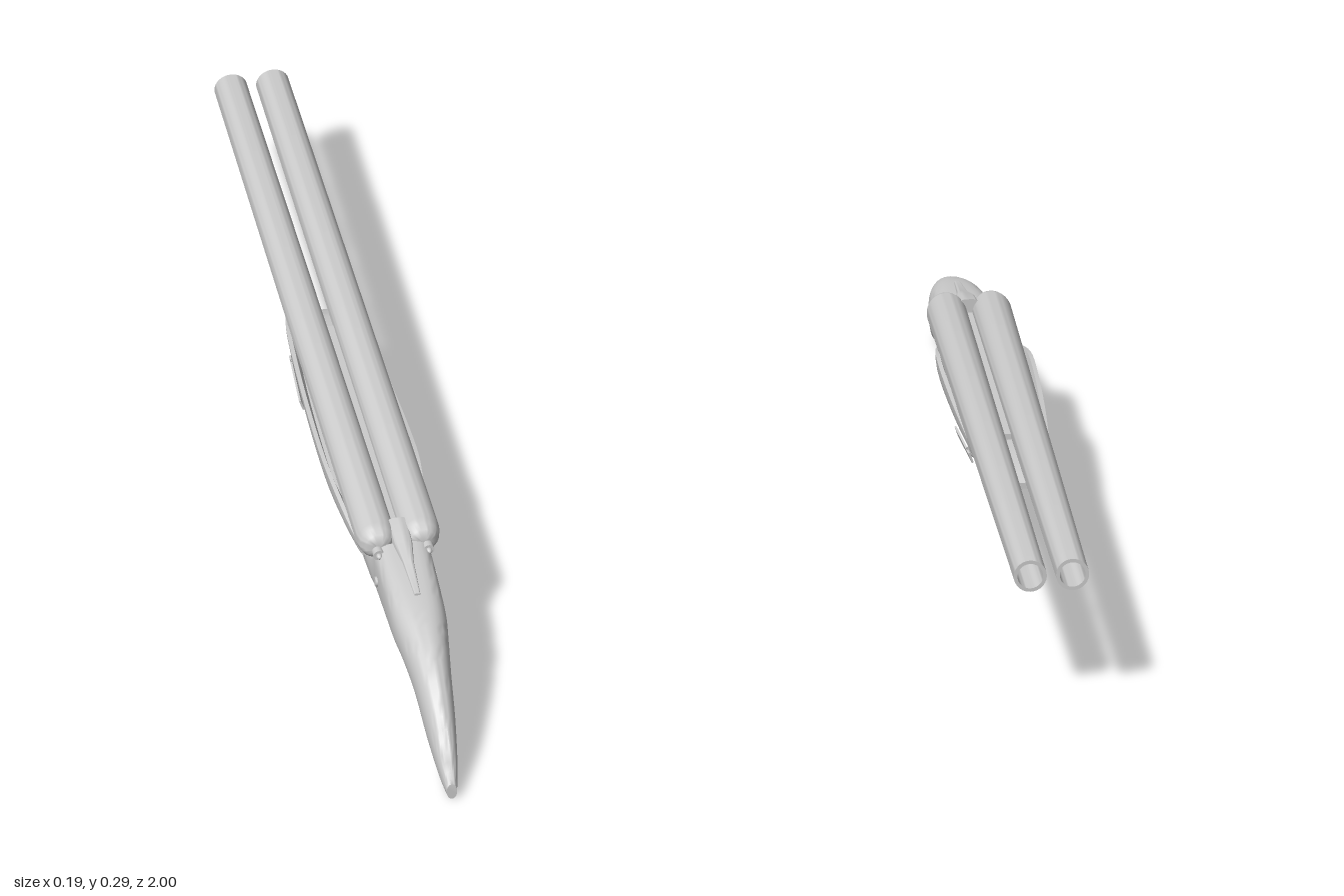
import * as THREE from 'three';
import { toCreasedNormals } from 'three/addons/utils/BufferGeometryUtils.js';

const CX = 0.004; // centre line of the whole gun
const mat = new THREE.MeshStandardMaterial({ color: 0xcccccc, side: THREE.DoubleSide });
const V = (x, y, z) => new THREE.Vector3(x, y, z);

function add(group, name, geometry, x = 0, y = 0, z = 0) {
  const mesh = new THREE.Mesh(geometry, mat);
  mesh.name = name;
  mesh.position.set(x, y, z);
  group.add(mesh);
  return mesh;
}

// Skin rings of points, each counter-clockwise seen from +z, running from +z to -z
function loft(rings, crease = 0.7) {
  const n = rings[0].length, pos = [], idx = [];
  rings.forEach(r => r.forEach(p => pos.push(p.x, p.y, p.z)));
  for (let i = 0; i < rings.length - 1; i++) {
    for (let j = 0; j < n; j++) {
      const a = i * n + j, b = i * n + (j + 1) % n, c = a + n, d = b + n;
      idx.push(a, c, b, b, c, d);
    }
  }
  const flat = rings.map(r => r.map(p => new THREE.Vector2(p.x, p.y)));
  const last = (rings.length - 1) * n;
  THREE.ShapeUtils.triangulateShape(flat[0], []).forEach(f => idx.push(...f));
  THREE.ShapeUtils.triangulateShape(flat[rings.length - 1], [])
    .forEach(([a, b, c]) => idx.push(last + a, last + c, last + b));
  const g = new THREE.BufferGeometry();
  g.setAttribute('position', new THREE.Float32BufferAttribute(pos, 3));
  g.setIndex(idx);
  return toCreasedNormals(g, crease);
}

// Smoothly resample rows of numbers whose first entry is z
function resample(rows, steps) {
  const out = [];
  for (let i = 0; i < rows.length - 1; i++) {
    const p = [rows[Math.max(i - 1, 0)], rows[i], rows[i + 1], rows[Math.min(i + 2, rows.length - 1)]];
    for (let s = 0; s < steps; s++) {
      const t = s / steps;
      out.push(rows[0].map((_, k) => {
        const [a, b, c, d] = p.map(r => r[k]);
        return b + 0.5 * t * (c - a + t * (2 * a - 5 * b + 4 * c - d + t * (3 * (b - c) + d - a)));
      }));
    }
  }
  return [...out, rows[rows.length - 1]];
}

const power = (v, e) => Math.sign(v) * Math.abs(v) ** e;

// Rounded-square ring: z, bottom, top, half width, squareness exponent
function roundRing([z, bottom, top, w, e]) {
  const ring = [];
  for (let j = 0; j < 32; j++) {
    const a = j / 32 * Math.PI * 2;
    ring.push(V(CX + w * power(Math.cos(a), e), (top + bottom) / 2 + (top - bottom) / 2 * power(Math.sin(a), e), z));
  }
  return ring;
}

// Trough ring: rounded belly with two side walls hugging the barrels
function troughRing([z, bottom, top, w]) {
  const ring = [];
  for (let j = 0; j <= 24; j++) {
    const a = Math.PI * (1 + j / 24);
    ring.push(V(w * power(Math.cos(a), 0.75), top + (top - bottom) * power(Math.sin(a), 0.9), z));
  }
  const floor = Math.min(0.228, top - 0.006);
  ring.push(V(w - 0.008, top + 0.001, z), V(w - 0.016, floor, z), V(-w + 0.016, floor, z), V(-w + 0.008, top + 0.001, z));
  return ring;
}

export function createModel() {
  const model = new THREE.Group();
  model.name = 'doubleBarrelGun';

  // Curved pistol stock running into the receiver
  const stock = [
    [1, 0.003, 0.037, 0.01, 0.9], [0.96, 0.012, 0.085, 0.019, 0.9], [0.89, 0.042, 0.15, 0.029, 0.9],
    [0.81, 0.09, 0.2, 0.037, 0.9], [0.74, 0.12, 0.226, 0.046, 0.85], [0.68, 0.133, 0.24, 0.053, 0.75],
    [0.6, 0.143, 0.252, 0.055, 0.6], [0.51, 0.148, 0.262, 0.056, 0.5]
  ];
  add(model, 'stock', loft(resample(stock, 4).map(roundRing)));

  // Receiver under the breech
  const receiver = [[0.51, 0.148, 0.262, 0.056, 0.5], [0.48, 0.15, 0.225, 0.057, 0.45], [0.38, 0.155, 0.22, 0.06, 0.45]];
  add(model, 'receiver', loft(receiver.map(roundRing)));

  // Forend cradling the barrels
  const forend = [
    [0.41, 0.153, 0.204, 0.066], [0.35, 0.155, 0.23, 0.08], [0.25, 0.158, 0.252, 0.092], [0.14, 0.164, 0.252, 0.093],
    [-0.02, 0.174, 0.246, 0.088], [-0.16, 0.184, 0.239, 0.08], [-0.26, 0.189, 0.23, 0.071],
    [-0.31, 0.19, 0.221, 0.06], [-0.338, 0.192, 0.21, 0.045]
  ];
  add(model, 'forend', loft(resample(forend, 4).map(troughRing)));

  // Two hollow barrels, drifting apart a little toward the muzzle
  const breechRadius = 0.0385, muzzleRadius = 0.032, length = 1.47;
  const profile = [
    [0.001, -0.042], [0.014, -0.041], [0.026, -0.034], [0.034, -0.022], [0.0375, -0.008], [breechRadius, 0],
    [muzzleRadius, length], [0.025, length], [0.025, length - 0.5], [0.001, length - 0.5]
  ].map(p => new THREE.Vector2(...p));
  for (const [side, xBreech, xMuzzle] of [['right', -0.041, -0.032], ['left', 0.046, 0.05]]) {
    const geometry = toCreasedNormals(new THREE.LatheGeometry(profile, 40), 0.6);
    const barrel = add(model, side + 'Barrel', geometry, xBreech, 0.255, 0.47);
    const aim = V(xMuzzle - xBreech, 0.007, -length).normalize();
    barrel.quaternion.setFromUnitVectors(V(0, 1, 0), aim);

    // Firing pin with collar behind each barrel
    const s = side === 'left' ? 1 : -1, px = CX + s * 0.049;
    const collar = add(model, side + 'PinCollar', new THREE.CylinderGeometry(0.011, 0.011, 0.03, 20), px, 0.249, 0.512);
    collar.rotation.x = Math.PI / 2;
    const pin = add(model, side + 'FiringPin', new THREE.SphereGeometry(0.006, 16, 10), px, 0.249, 0.529);
    pin.scale.z = 1.4;

    // Receiver screws and hinge pin ends
    for (const [name, y, z, r] of [['Screw', 0.198, 0.54, 0.01], ['HingePin', 0.185, 0.425, 0.008]]) {
      const screw = add(model, side + name, new THREE.CylinderGeometry(r, r, 0.006, 16), CX + s * 0.057, y, z);
      screw.rotation.z = Math.PI / 2;
    }

    // Side plate set in the forend
    const plate = add(model, side + 'ForendPlate', new THREE.BoxGeometry(0.004, 0.022, 0.15), s * 0.0785, 0.204, -0.115);
    plate.rotation.set(0, s * 0.065, -s * 0.35);
  }

  // Rib joining the barrels
  add(model, 'barrelRib', new THREE.BoxGeometry(0.018, 0.012, 0.68), 0.004, 0.252, 0.13);

  // Tang and opening lever on top of the receiver
  const tang = [[0.66, 0.235, 0.248, 0.006, 0.5], [0.57, 0.24, 0.262, 0.011, 0.5], [0.52, 0.24, 0.275, 0.018, 0.5], [0.46, 0.24, 0.285, 0.02, 0.5]];
  add(model, 'topTang', loft(tang.map(roundRing)));

  // Strap across the belly of the forend
  const strap = [];
  for (let i = 0; i <= 12; i++) {
    const a = Math.PI * (1.1 + 0.8 * i / 12);
    strap.push(V(0.08 * power(Math.cos(a), 0.75), 0.238 + 0.055 * power(Math.sin(a), 0.9), -0.17));
  }
  add(model, 'forendStrap', new THREE.TubeGeometry(new THREE.CatmullRomCurve3(strap), 40, 0.004, 8));

  // Trigger guard and trigger
  const guard = new THREE.CatmullRomCurve3([
    [0.755, 0.125], [0.74, 0.1], [0.71, 0.073], [0.65, 0.061], [0.595, 0.067], [0.571, 0.09], [0.568, 0.118], [0.565, 0.15]
  ].map(([z, y]) => V(CX, y, z)));
  const guardMesh = add(model, 'triggerGuard', new THREE.TubeGeometry(guard, 48, 0.0055, 10), -CX * 0.6);
  guardMesh.scale.x = 1.6;
  const trigger = new THREE.CatmullRomCurve3([[0.65, 0.145], [0.655, 0.115], [0.67, 0.09], [0.685, 0.08]].map(([z, y]) => V(CX, y, z)));
  add(model, 'trigger', new THREE.TubeGeometry(trigger, 20, 0.006, 8));

  return model;
}
